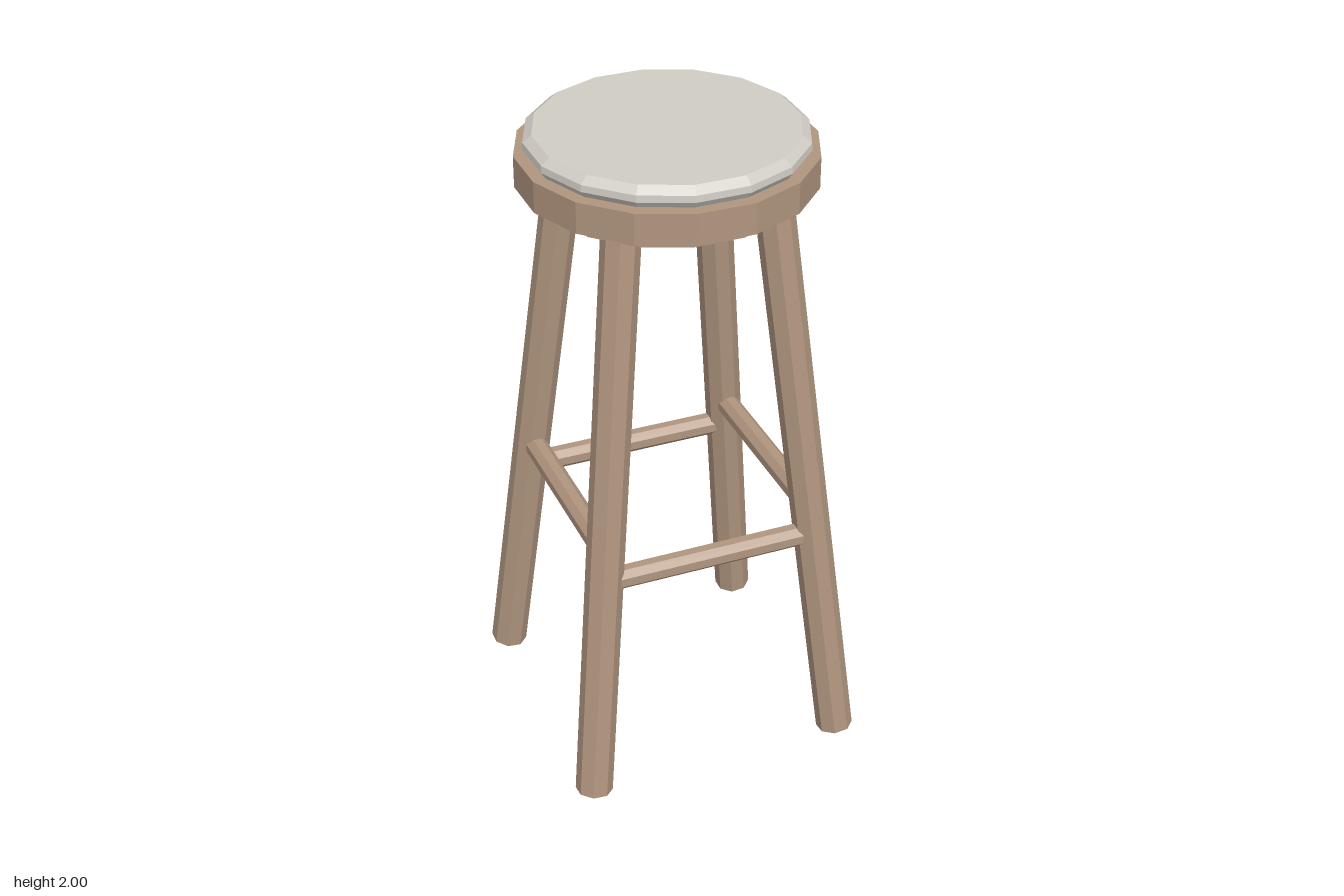
import * as THREE from 'three';

const wood = new THREE.MeshStandardMaterial({ color: 0xb0957f, flatShading: true });
const fabric = new THREE.MeshStandardMaterial({ color: 0xd0ccc4, flatShading: true });

const SEAT_SIDES = 16;
const FOOT = { offset: 0.41, y: 0.0075 };
const LEG_TOP = { offset: 0.23, y: 1.815 };

// Turned seat part; radii are measured to the flats of the polygon
function turned(name, profile, material) {
  const k = 1 / Math.cos(Math.PI / SEAT_SIDES);
  const points = profile.map(([r, y]) => new THREE.Vector2(r * k, y));
  const geometry = new THREE.LatheGeometry(points, SEAT_SIDES);
  geometry.rotateY(Math.PI / SEAT_SIDES);
  const mesh = new THREE.Mesh(geometry, material);
  mesh.name = name;
  return mesh;
}

// Octagonal bar between two points, flats facing the axes
function bar(name, from, to, apothem) {
  const dir = to.clone().sub(from);
  const r = apothem / Math.cos(Math.PI / 8);
  const geometry = new THREE.CylinderGeometry(r, r, dir.length(), 8);
  geometry.rotateY(Math.PI / 8);
  const mesh = new THREE.Mesh(geometry, wood);
  mesh.position.copy(from).add(to).multiplyScalar(0.5);
  mesh.quaternion.setFromUnitVectors(new THREE.Vector3(0, 1, 0), dir.normalize());
  mesh.name = name;
  return mesh;
}

// Distance of a leg's centre line from the x and z planes at height y
function legOffset(y) {
  return THREE.MathUtils.mapLinear(y, FOOT.y, LEG_TOP.y, FOOT.offset, LEG_TOP.offset);
}

export function createModel() {
  const stool = new THREE.Group();
  stool.name = 'stool';

  // Seat: chamfered apron under a wider rim, topped by a thin cushion
  stool.add(turned('seat', [
    [0, 1.765], [0.29, 1.765], [0.375, 1.81], [0.375, 1.845],
    [0.43, 1.845], [0.43, 1.94], [0, 1.94],
  ], wood));
  stool.add(turned('cushion', [
    [0.39, 1.938], [0.405, 1.96], [0.403, 1.98], [0.378, 2], [0, 2],
  ], fabric));

  // Four splayed legs
  for (const [sx, side] of [[1, 'Left'], [-1, 'Right']]) {
    for (const [sz, end] of [[1, 'front'], [-1, 'back']]) {
      stool.add(bar(`${end}${side}Leg`,
        new THREE.Vector3(sx * FOOT.offset, FOOT.y, sz * FOOT.offset),
        new THREE.Vector3(sx * LEG_TOP.offset, LEG_TOP.y, sz * LEG_TOP.offset), 0.053));
    }
  }

  // Stretchers: front and back sit lower than the side pair
  const low = 0.733, high = 0.828;
  const a = legOffset(low), b = legOffset(high);
  for (const s of [1, -1]) {
    stool.add(bar(s > 0 ? 'frontStretcher' : 'backStretcher',
      new THREE.Vector3(-a, low, s * a), new THREE.Vector3(a, low, s * a), 0.033));
    stool.add(bar(s > 0 ? 'leftStretcher' : 'rightStretcher',
      new THREE.Vector3(s * b, high, -b), new THREE.Vector3(s * b, high, b), 0.033));
  }
  return stool;
}
